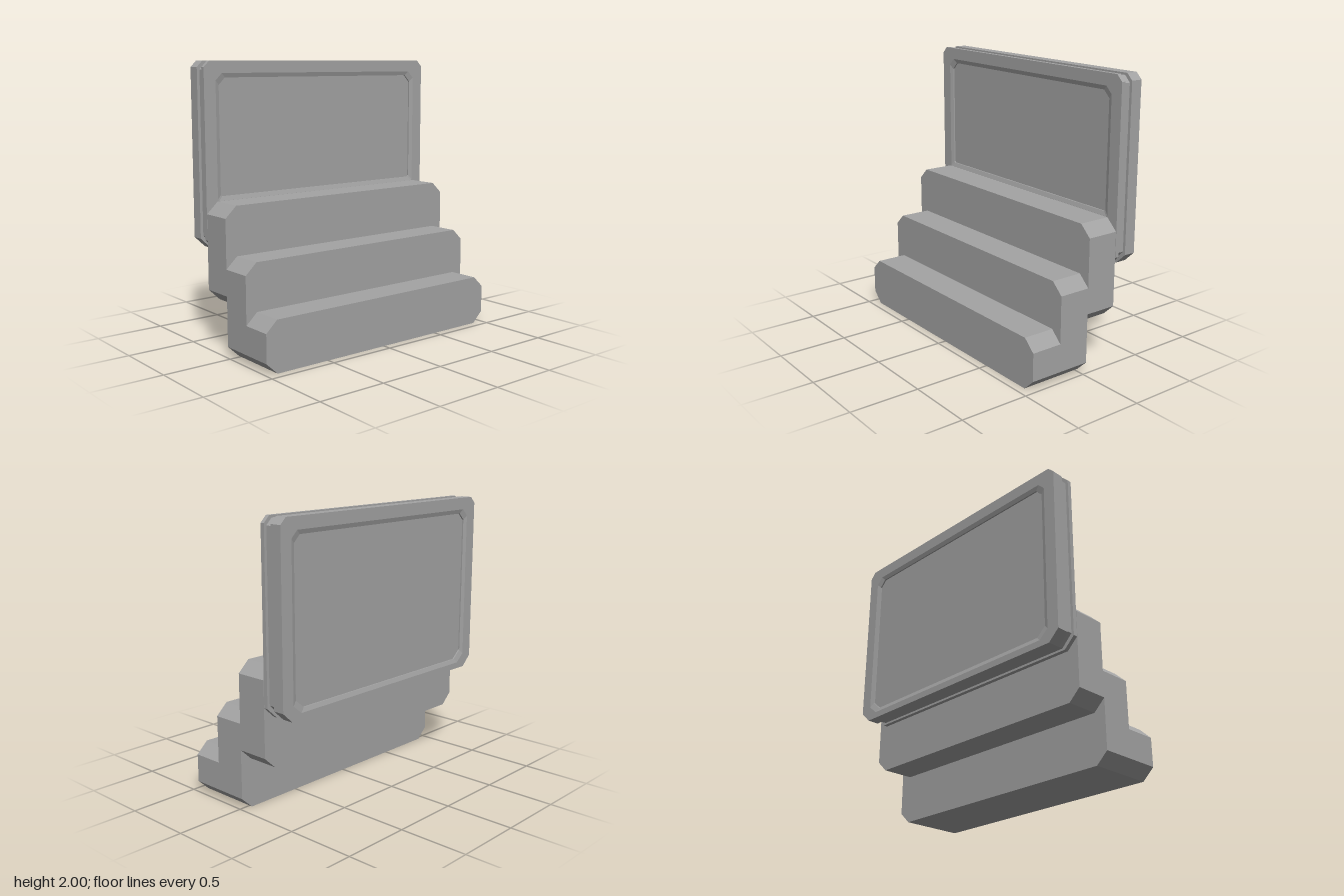
import * as THREE from 'three';

// Rectangle with cut corners as 8 points, counter-clockwise; ct/cb = [x, y] cuts at top and bottom
function outline(hw, y0, y1, cb, ct) {
  return [
    [hw - cb[0], y0], [hw, y0 + cb[1]], [hw, y1 - ct[1]], [hw - ct[0], y1],
    [-hw + ct[0], y1], [-hw, y1 - ct[1]], [-hw, y0 + cb[1]], [-hw + cb[0], y0],
  ].map(([x, y]) => new THREE.Vector2(x, y));
}

// Solid block from an outline between two depths
function block(pts, z0, z1) {
  const g = new THREE.ExtrudeGeometry(new THREE.Shape(pts), { depth: z1 - z0, bevelEnabled: false });
  return g.translate(0, 0, z0);
}

// Skin stretched over successive outlines, closed at the last one; flip turns it to face -z
function loft(loops, flip) {
  const pos = [];
  const tri = (a, b, c) => pos.push(...a, ...(flip ? c : b), ...(flip ? b : c));
  const rings = loops.map(([pts, z]) => pts.map((p) => [p.x, p.y, z]));
  for (let r = 0; r < rings.length - 1; r++) {
    const A = rings[r], B = rings[r + 1];
    for (let i = 0; i < 8; i++) {
      const j = (i + 1) % 8;
      tri(A[i], A[j], B[j]);
      tri(A[i], B[j], B[i]);
    }
  }
  const end = rings[rings.length - 1];
  for (let i = 1; i < 7; i++) tri(end[0], end[i], end[i + 1]);
  const g = new THREE.BufferGeometry();
  g.setAttribute('position', new THREE.Float32BufferAttribute(pos, 3));
  g.computeVertexNormals();
  return g;
}

export function createModel() {
  const model = new THREE.Group();
  model.name = 'steppedStand';
  const grey = new THREE.MeshStandardMaterial({ color: 0xa3a3a3 });
  grey.name = 'grey';
  const add = (name, geometry, parent) => {
    const m = new THREE.Mesh(geometry, grey);
    m.name = name;
    parent.add(m);
  };

  // Three steps rising towards the back: bottom, top, back, front
  const steps = new THREE.Group();
  steps.name = 'steps';
  model.add(steps);
  const cut = [0.085, 0.08];
  [
    ['lowerStep', 0, 0.36, 0.21, 0.44],
    ['middleStep', 0, 0.695, -0.025, 0.21],
    ['upperStep', 0.35, 1.04, -0.262, -0.025],
  ].forEach(([name, y0, y1, z0, z1]) => add(name, block(outline(1, y0, y1, cut, cut), z0, z1), steps));

  // Upright panel: a narrower core between two framed faces leaves a groove round the edge
  const panel = new THREE.Group();
  panel.name = 'panel';
  model.add(panel);
  const edge = outline(1, 0.7, 2, [0.08, 0.075], [0.045, 0.045]);
  add('grooveCore', block(outline(0.98, 0.715, 1.985, [0.08, 0.08], [0.045, 0.045]), -0.357, -0.293), panel);

  // Each face: rim, shallow bevel, small wall, recessed field
  const face = (name, inner, outer, bottom, cb) => {
    const s = Math.sign(outer - inner);
    const bevel = outline(0.91, bottom - 0.03, 1.915, cb, [0.05, 0.05]);
    const field = outline(0.88, bottom, 1.885, cb, [0.05, 0.05]);
    add(name, loft([
      [edge, inner], [edge, outer], [bevel, outer],
      [field, outer - s * 0.01], [field, outer - s * 0.02],
    ], s < 0), panel);
    // Inner side of the rim, seen inside the groove
    add(name + 'Back', loft([[edge, inner]], s > 0), panel);
  };
  face('frontFace', -0.295, -0.265, 1.07, [0.01, 0.01]);
  face('backFace', -0.355, -0.44, 0.775, [0.07, 0.06]);

  return model;
}
